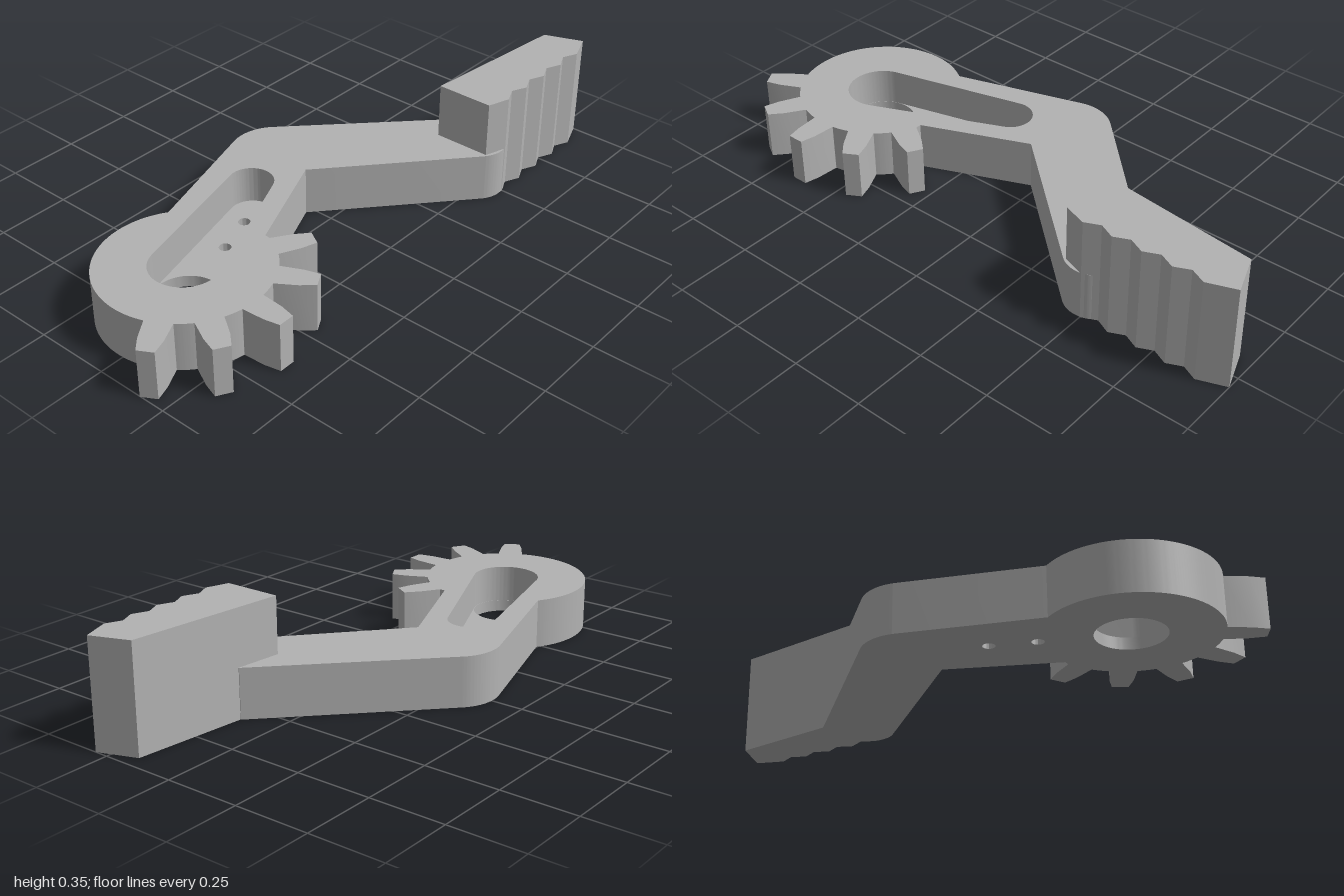
import * as THREE from 'three';
import { toCreasedNormals } from 'three/addons/utils/BufferGeometryUtils.js';

const rad = THREE.MathUtils.degToRad;
const THICK = 0.167;
const JAW_HEIGHT = 0.355;
const FLOOR = 0.04;
const HUB = new THREE.Vector2(-0.64, 0.017); // plan coordinates: x, -z
const SLOT_END = new THREE.Vector2(-0.19, 0.175);

// Extrude a plan shape upwards from y = 0
function extrudeUp(shape, height) {
  const g = new THREE.ExtrudeGeometry(shape, { depth: height, bevelEnabled: false, curveSegments: 40 });
  g.rotateX(-Math.PI / 2);
  return toCreasedNormals(g, rad(25));
}

// Outline around two circles joined by their outer tangents
function slotOutline(path, a, ra, b, rb) {
  const dir = Math.atan2(b.y - a.y, b.x - a.x);
  const t = Math.acos((ra - rb) / a.distanceTo(b));
  path.absarc(a.x, a.y, ra, dir + t, dir - t + Math.PI * 2, false);
  path.absarc(b.x, b.y, rb, dir - t, dir + t, false);
  path.closePath();
  return path;
}

function circleHole(x, y, r) {
  return new THREE.Path().absarc(x, y, r, 0, Math.PI * 2, true);
}

// Gear hub with five teeth, running into the bent arm
function bodyShape() {
  const s = new THREE.Shape();
  const R = 0.278;
  s.absarc(HUB.x, HUB.y, R, rad(56), rad(201), false);
  for (let deg = 210; deg <= 330; deg += 30) {
    const a = rad(deg), c = Math.cos(a), n = Math.sin(a);
    const tooth = [[0.275, -0.043], [0.35, -0.038], [0.402, -0.027], [0.402, 0.027], [0.35, 0.038], [0.275, 0.043]];
    for (const [r, w] of tooth) s.lineTo(HUB.x + r * c - w * n, HUB.y + r * n + w * c);
    if (deg < 330) s.absarc(HUB.x, HUB.y, R, rad(deg + 9), rad(deg + 21), false);
  }
  s.lineTo(-0.38, -0.064);
  s.lineTo(-0.027, 0.085);
  s.absarc(0.48, -0.23, 0.1, rad(228), rad(360), false);
  s.lineTo(0.58, -0.125);
  s.absarc(-0.005, 0.24, 0.15, rad(45), rad(107), false);
  s.closePath();
  s.holes.push(slotOutline(new THREE.Path(), HUB, 0.112, SLOT_END, 0.075));
  return s;
}

// Thin floor of the slot, with the shaft hole and two pin holes
function floorShape() {
  const s = slotOutline(new THREE.Shape(), HUB, 0.112, SLOT_END, 0.075);
  s.holes.push(
    circleHole(HUB.x, HUB.y, 0.111),
    circleHole(-0.38, 0.112, 0.02),
    circleHole(-0.24, 0.162, 0.02)
  );
  return s;
}

// Tall jaw block with a ridged gripping face
function jawShape() {
  const s = new THREE.Shape();
  s.moveTo(0.425, -0.11);
  s.lineTo(0.425, -0.305);
  for (let i = 0; i < 9; i++) s.lineTo(0.5 + i * 0.0508, i % 2 ? -0.307 : -0.33);
  s.lineTo(1, -0.295);
  s.lineTo(0.953, -0.167);
  s.closePath();
  return s;
}

export function createModel() {
  const group = new THREE.Group();
  group.name = 'gripperFinger';
  const grey = new THREE.MeshStandardMaterial({ color: 0xb2b2b2 });
  grey.name = 'grey plastic';

  const add = (name, shape, height) => {
    const mesh = new THREE.Mesh(extrudeUp(shape, height), grey);
    mesh.name = name;
    group.add(mesh);
  };
  add('gearArm', bodyShape(), THICK);
  add('slotFloor', floorShape(), FLOOR);
  add('jaw', jawShape(), JAW_HEIGHT);
  return group;
}
